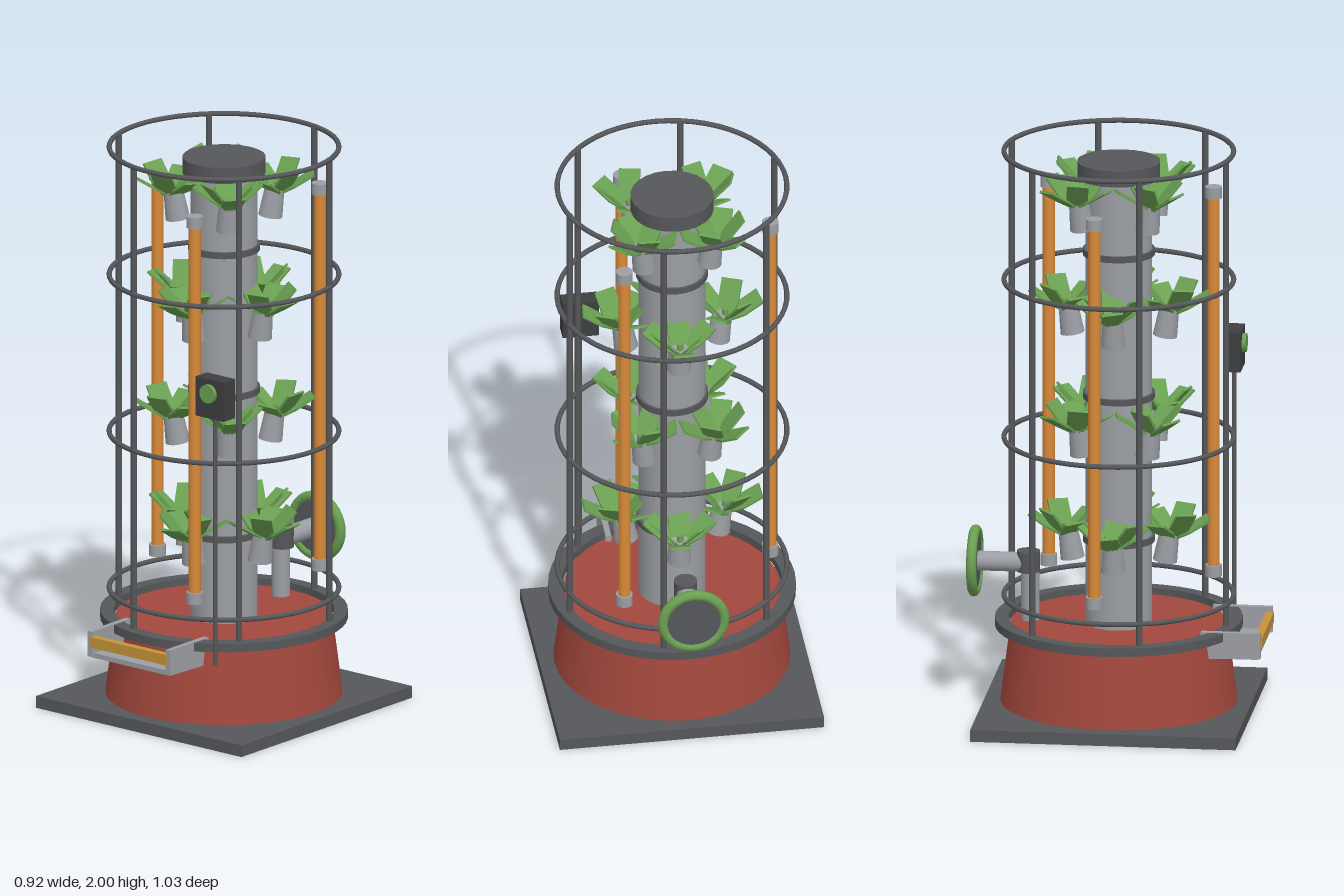
import * as THREE from 'three';

const material = (name, color) => {
  const m = new THREE.MeshStandardMaterial({ color });
  m.name = name;
  return m;
};

export function createModel() {
  const model = new THREE.Group();
  model.name = 'plantTower';
  const frame = material('frame grey', 0x56575a);
  const box = material('charcoal', 0x3d3e41);
  const pipe = material('pipe grey', 0x9b9ea3);
  const clay = material('clay red', 0xa3483d);
  const leafGreen = material('leaf green', 0x6aa052);
  const lamp = material('lamp orange', 0xd98a38);
  const strip = material('amber', 0xc4943a);

  const add = (name, geometry, mat, x = 0, y = 0, z = 0, parent = model) => {
    const mesh = new THREE.Mesh(geometry, mat);
    mesh.name = name;
    mesh.position.set(x, y, z);
    parent.add(mesh);
    return mesh;
  };
  // Upright cylinder or cone between two heights
  const post = (name, mat, rTop, rBottom, y0, y1, x = 0, z = 0, sides = 20, parent = model) =>
    add(name, new THREE.CylinderGeometry(rTop, rBottom, y1 - y0, sides), mat, x, (y0 + y1) / 2, z, parent);
  const block = (name, mat, x0, x1, y0, y1, z0, z1) =>
    add(name, new THREE.BoxGeometry(x1 - x0, y1 - y0, z1 - z0), mat, (x0 + x1) / 2, (y0 + y1) / 2, (z0 + z1) / 2);

  // Base plate, reservoir and its rim
  block('basePlate', frame, -0.458, 0.458, 0, 0.042, -0.458, 0.458);
  post('reservoir', clay, 0.372, 0.407, 0.042, 0.316, 0, 0, 40);
  const rim = [[0.378, 0.308], [0.425, 0.308], [0.425, 0.338], [0.378, 0.338], [0.378, 0.308]];
  for (let i = 0; i < 4; i++) {
    const pair = [rim[i], rim[i + 1]].map(p => new THREE.Vector2(...p));
    add('reservoirRim', new THREE.LatheGeometry(pair, 48), frame);
  }

  // Central pipe, joints and cap
  post('towerPipe', pipe, 0.115, 0.115, 0.31, 1.91, 0, 0, 28);
  for (const y of [0.618, 1.127, 1.636]) post('pipeJoint', frame, 0.124, 0.124, y - 0.011, y + 0.011, 0, 0, 28);
  post('towerCap', frame, 0.143, 0.143, 1.9, 1.957, 0, 0, 24);

  // Cage hoops and bars
  for (const y of [0.415, 0.975, 1.535, 1.991]) {
    add('cageHoop', new THREE.TorusGeometry(0.394, 0.009, 8, 56), frame, 0, y).rotation.x = Math.PI / 2;
  }
  for (let i = 0; i < 6; i++) {
    const a = 0.745 + i * Math.PI / 3;
    post('cageBar', frame, 0.011, 0.011, 0.32, 1.99, 0.39 * Math.cos(a), 0.39 * Math.sin(a), 10);
  }

  // Grow lamps
  for (let i = 0; i < 3; i++) {
    const a = 1.18 + i * Math.PI * 2 / 3;
    const x = 0.337 * Math.cos(a), z = 0.337 * Math.sin(a);
    post('growLamp', lamp, 0.021, 0.021, 0.49, 1.805, x, z, 16);
    post('lampEnd', pipe, 0.029, 0.029, 0.455, 0.495, x, z, 16);
    post('lampEnd', pipe, 0.029, 0.029, 1.8, 1.84, x, z, 16);
  }

  // Plants: tilted cup, stem and a rosette of leaf plates
  const outline = new THREE.Shape([[0, -0.018], [0.05, -0.037], [0.128, -0.037], [0.128, 0.037], [0.05, 0.037], [0, 0.018]]
    .map(p => new THREE.Vector2(...p)));
  const leafGeometry = new THREE.ExtrudeGeometry(outline, { depth: 0.008, bevelEnabled: false }).rotateX(-Math.PI / 2);
  for (let level = 0; level < 4; level++) {
    for (let k = 0; k < 4; k++) {
      const a = (k + (level % 2) / 2) * Math.PI / 2;
      const plant = new THREE.Group();
      plant.name = 'plant';
      plant.position.set(0.185 * Math.cos(a), 0.62 + level * 0.4, 0.185 * Math.sin(a));
      plant.rotation.y = -a;
      model.add(plant);
      post('plantCup', pipe, 0.034, 0.042, -0.08, 0.02, -0.018, 0, 16, plant).rotation.z = -0.15;
      post('plantStem', leafGreen, 0.011, 0.011, 0, 0.04, 0, 0, 10, plant);
      for (let i = 0; i < 6; i++) {
        const turn = i * Math.PI / 3 + 0.12 * Math.sin(level * 2.3 + k * 1.7);
        const leaf = add('leaf', leafGeometry, leafGreen, 0.016 * Math.cos(turn), 0.002, -0.016 * Math.sin(turn), plant);
        leaf.rotation.set(0.15 * Math.sin(i * 2 + k), turn, i % 2 ? 0.87 : 0.55, 'YZX');
      }
    }
  }

  // Control box on its post
  post('controlPost', frame, 0.008, 0.008, 0.27, 1.17, 0.265, 0.366, 10);
  block('controlBox', box, 0.202, 0.328, 1.16, 1.3, 0.335, 0.396);
  add('controlButton', new THREE.CylinderGeometry(0.033, 0.033, 0.016, 20), leafGreen, 0.264, 1.25, 0.402).rotation.x = Math.PI / 2;

  // Front tray
  block('trayFloor', pipe, -0.175, 0.175, 0.245, 0.262, 0.34, 0.5);
  for (const s of [-1, 1]) {
    const side = new THREE.Shape([[0.305, 0.31], [0.33, 0.245], [0.51, 0.25], [0.51, 0.34], [0.305, 0.34]]
      .map(p => new THREE.Vector2(...p)));
    const geometry = new THREE.ExtrudeGeometry(side, { depth: 0.02, bevelEnabled: false }).rotateY(-Math.PI / 2);
    add('traySide', geometry, pipe, s * 0.174 + 0.01);
  }
  block('trayFront', strip, -0.172, 0.172, 0.285, 0.322, 0.488, 0.515);

  // Rear inlet pipe and wheel
  post('inletRiser', pipe, 0.032, 0.032, 0.3, 0.49, 0, -0.305);
  post('inletElbow', frame, 0.04, 0.04, 0.487, 0.56, 0, -0.312);
  add('inletPipe', new THREE.CylinderGeometry(0.034, 0.034, 0.17, 20), pipe, 0, 0.518, -0.405).rotation.x = Math.PI / 2;
  add('wheelRim', new THREE.TorusGeometry(0.106, 0.018, 10, 36), leafGreen, 0, 0.518, -0.497);
  add('wheelDisc', new THREE.CylinderGeometry(0.104, 0.104, 0.022, 32), frame, 0, 0.518, -0.497).rotation.x = Math.PI / 2;

  return model;
}
